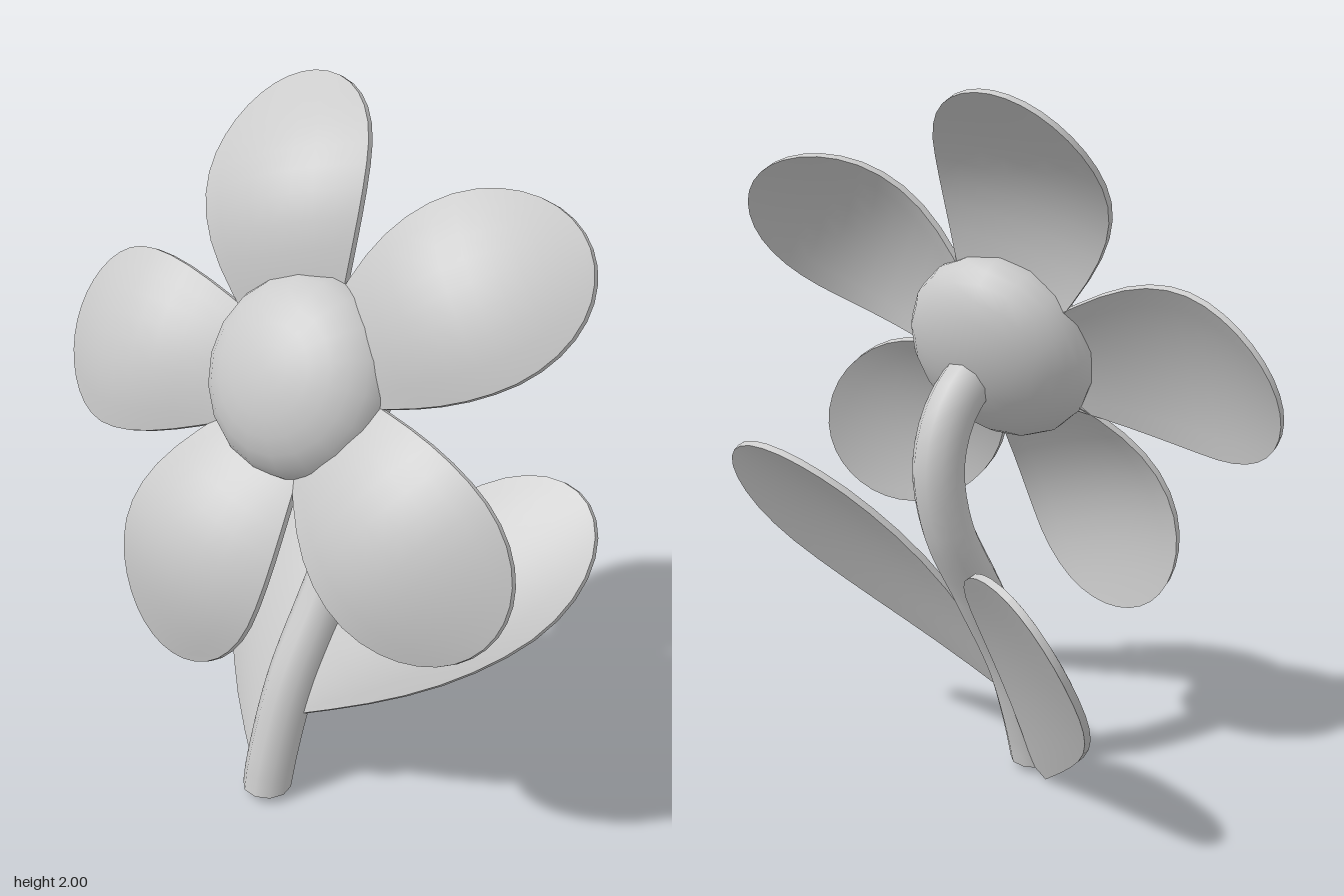
import * as THREE from 'three';

const material = new THREE.MeshStandardMaterial({ color: 0xcccccc });
const v = (x, y, z) => new THREE.Vector3(x, y, z);

function add(parent, name, geometry) {
  const mesh = new THREE.Mesh(geometry, material);
  mesh.name = name;
  parent.add(mesh);
  return mesh;
}

// Egg-shaped blade growing along +y, domed towards +z, with a thin rim and fuller body
function bladeGeometry({ length, width, base, widest, rim, body, arch, cup, droop }) {
  const geo = new THREE.BoxGeometry(1, 1, 1, 8, 14, 1);
  const pos = geo.attributes.position;
  for (let i = 0; i < pos.count; i++) {
    const s = pos.getX(i) * 2;
    const t = Math.sin((pos.getY(i) + 0.5) * Math.PI / 2); // rows crowd towards the round tip
    const profile = t < widest
      ? base + (1 - base) * Math.sin((t / widest) * Math.PI / 2)
      : Math.sqrt(Math.max(0, 1 - ((t - widest) / (1 - widest)) ** 2));
    const edge = s * profile;
    const rise = Math.sin(Math.PI * t);
    const thickness = rim + body * rise * (1 - s * s);
    const z = arch * rise - cup * edge * edge - droop * t;
    pos.setXYZ(i, edge * width / 2, t * length, z + pos.getZ(i) * thickness);
  }
  geo.computeVertexNormals();
  return geo;
}

// Orients an object by its width and length directions
function orient(object, across, along) {
  const y = along.clone().normalize();
  const z = across.clone().cross(y).normalize();
  const x = y.clone().cross(z);
  object.quaternion.setFromRotationMatrix(new THREE.Matrix4().makeBasis(x, y, z));
}

export function createModel() {
  const model = new THREE.Group();
  model.name = 'flower';

  // Flower head, tilted upwards and slightly to its left
  const head = new THREE.Group();
  head.name = 'flowerHead';
  head.position.set(0.065, 1.287, 0.065);
  const normal = v(0.155, 0.4, 0.905).normalize();
  const side = v(normal.z, 0, -normal.x).normalize();
  orient(head, side, normal.clone().cross(side));
  model.add(head);

  const centre = add(head, 'flowerCentre', new THREE.SphereGeometry(0.277, 18, 14).rotateX(Math.PI / 2));
  centre.scale.z = 0.6;

  // Five petals around the centre
  const petals = new THREE.Group();
  petals.name = 'petals';
  petals.position.set(-0.012, -0.024, 0.014);
  head.add(petals);
  const petalGeo = bladeGeometry({
    length: 0.668, width: 0.51, base: 0.57, widest: 0.57, rim: 0.02, body: 0.03, arch: 0.11, cup: 0.05, droop: 0.08,
  });
  for (let i = 0; i < 5; i++) {
    const angle = (i * 72 + 36) * Math.PI / 180;
    const petal = add(petals, 'petal', petalGeo);
    petal.position.set(Math.cos(angle) * 0.18, Math.sin(angle) * 0.18, 0);
    petal.rotation.z = angle - Math.PI / 2;
  }

  // Curved stem bending back and then into the head
  const path = new THREE.CatmullRomCurve3([
    v(0.03, 0.02, 0.17), v(0.032, 0.1, 0.155), v(0.045, 0.35, 0.085), v(0.06, 0.6, -0.035),
    v(0.068, 0.82, -0.145), v(0.07, 1.0, -0.172), v(0.07, 1.14, -0.125), v(0.07, 1.24, -0.03),
  ]);
  const stemGeo = new THREE.TubeGeometry(path, 28, 0.072, 10, false);
  // Flatten the foot of the stem
  const p = stemGeo.attributes.position;
  for (let i = 0; i <= 10; i++) p.setY(i, 0.02);
  add(model, 'stem', stemGeo);
  const cap = add(model, 'stemFoot', new THREE.CircleGeometry(0.071, 10));
  cap.rotation.x = Math.PI / 2;
  cap.position.set(0.03, 0.021, 0.17);

  // Two leaves leaning back from the stem
  const leaves = [
    { name: 'rightLeaf', from: v(-0.04, 0.015, 0.13), to: v(-0.39, 0.79, -0.37), across: v(1, 0.46, 0.06), width: 0.48 },
    { name: 'leftLeaf', from: v(0.06, 0.27, 0.09), to: v(0.67, 0.975, -0.4), across: v(0.17, -0.12, 0.05), width: 0.46 },
  ];
  for (const { name, from, to, across, width } of leaves) {
    const along = to.clone().sub(from);
    const leaf = add(model, name, bladeGeometry({
      length: along.length(), width, base: 0.12, widest: 0.67, rim: 0.02, body: 0.035, arch: 0.05, cup: 0.03, droop: 0,
    }));
    leaf.position.copy(from);
    orient(leaf, across, along);
  }
  return model;
}
